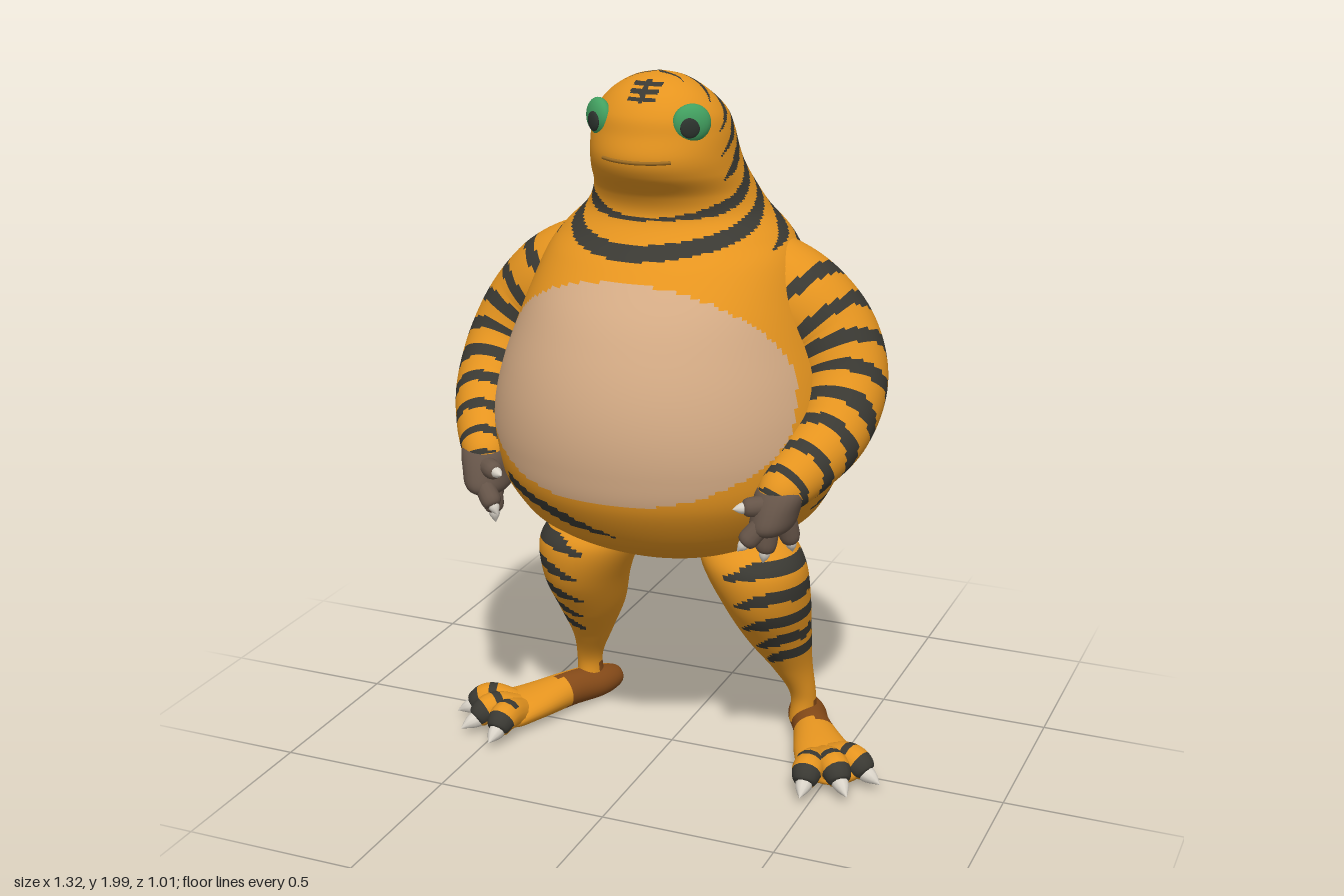
import * as THREE from 'three';

const flat = (name, color) => Object.assign(new THREE.MeshStandardMaterial({ color }), { name });
const mats = [
  flat('orange skin', 0xe5941f), flat('dark stripe', 0x3a3933), flat('tan belly', 0xd3aa84),
  flat('heel brown', 0x854a18), flat('hand brown', 0x655448), flat('pale claw', 0xd9d3c8),
  flat('eye green', 0x42a060), flat('pupil', 0x2c332e), flat('mouth line', 0xa06d22),
];
const [ORANGE, STRIPE, TAN, HEEL, HAND, CLAW, GREEN, PUPIL, MOUTH] = mats.keys();
const { smoothstep, clamp, lerp } = THREE.MathUtils;

// Skin over elliptical rings [x, y, z, ra, rb]; paint(p, v, c, f) picks a material per quad,
// c = cosine towards the side vector, f = frontness of the ring point
function skin(name, rows, side, paint, nu, nv, axis) {
  const path = new THREE.CatmullRomCurve3(rows.map(r => new THREE.Vector3(r[0], r[1], r[2])), false, 'catmullrom');
  const size = new THREE.CatmullRomCurve3(rows.map(r => new THREE.Vector3(r[3], r[4], 0)), false, 'catmullrom');
  const pos = [], info = [], buckets = mats.map(() => []);
  for (let i = 0; i <= nv; i++) {
    const v = i / nv, p = path.getPoint(v), r = size.getPoint(v);
    const T = axis || path.getTangent(v);
    const B = side.clone().addScaledVector(T, -side.dot(T)).normalize();
    const N = new THREE.Vector3().crossVectors(T, B);
    for (let j = 0; j < nu; j++) {
      const a = j / nu * Math.PI * 2, c = Math.cos(a), s = Math.sin(a);
      const q = p.clone().addScaledVector(B, Math.max(r.x, 0) * c).addScaledVector(N, Math.max(r.y, 0) * s);
      pos.push(q.x, q.y, q.z);
      info.push([q, v, c, N.z * s]);
    }
  }
  for (let i = 0; i < nv; i++) for (let j = 0; j < nu; j++) {
    const a = i * nu + j, b = i * nu + (j + 1) % nu, d = b + nu;
    const mean = n => (info[a][n] + info[d][n]) / 2;
    const p = info[a][0].clone().lerp(info[d][0], .5);
    buckets[paint(p, mean(1), mean(2), mean(3))].push(a, b, a + nu, b, d, a + nu);
  }
  const geo = new THREE.BufferGeometry();
  geo.setAttribute('position', new THREE.Float32BufferAttribute(pos, 3));
  geo.setIndex(buckets.flat());
  let start = 0;
  buckets.forEach((b, m) => { if (b.length) geo.addGroup(start, b.length, m); start += b.length; });
  geo.computeVertexNormals();
  const mesh = new THREE.Mesh(geo, mats);
  mesh.name = name;
  return mesh;
}

// Torso and head profile: [y, front z, back z, half width]
const profile = [
  [.6, -.06, -.14, 0], [.605, -.01, -.17, .09], [.65, .15, -.25, .21], [.7, .27, -.35, .31], [.75, .36, -.42, .385],
  [.8, .42, -.46, .43], [.9, .485, -.495, .48], [1, .505, -.505, .495], [1.1, .505, -.497, .485], [1.2, .485, -.475, .46],
  [1.3, .445, -.44, .425], [1.4, .385, -.4, .39], [1.5, .29, -.347, .355], [1.56, .215, -.31, .315], [1.62, .175, -.275, .255],
  [1.68, .19, -.24, .222], [1.74, .245, -.2, .205], [1.79, .264, -.17, .197], [1.85, .25, -.13, .19], [1.9, .237, -.095, .174],
  [1.95, .2, -.035, .13], [1.985, .145, .02, .07], [2, .08, .08, 0],
];
// Body bands: [height at the back, half thickness, how far round to the front, brown fringe]
const bands = [
  [.78, .02, .4], [.86, .02, .6], [.94, .022, .56], [1.06, .03, .56, 1], [1.23, .032, .52, 1], [1.4, .032, .52], [1.52, .03, .55, 1],
  [1.6, .022, .6], [1.68, .02, .7], [1.76, .018, 1.4], [1.835, .018, 1.05], [1.91, .018, .72], [1.98, .017, .66],
  [2.05, .016, .66], [2.12, .014, .64], [2.18, .012, .66],
];
function paintBody(p, v, c, f) {
  const { x, y, z } = p;
  const h = y > 1.12 ? .355 : .2;
  if (z > .1 && (Math.abs(x) / .437) ** 2.2 + (Math.abs(y - 1.12) / h) ** 2.2 < 1) return TAN;
  // forehead mark
  if (z > .08 && y > 1.93 && y < 1.985 && (Math.abs(x) < .007
    || Math.abs(x) < .04 && [1.942, 1.96, 1.976].some(b => Math.abs(y - b) < .005))) return STRIPE;
  // slanted stripe under the belly
  if (z > 0 && x > -.34 && x < .03 && Math.abs(y - .81 + .28 * x) < .02 * clamp((.03 - x) / .15, 0, 1)) return STRIPE;
  // bands drop towards the front and cross straight over the crown
  const t = lerp((1 + f) / 2, .5 + (z - .06) / .36, smoothstep(y, 1.75, 1.92));
  const drop = .05 + .17 * smoothstep(y, 1.2, 1.55) + .1 * smoothstep(y, 1.6, 1.9);
  const yb = y + drop * t + .006 * Math.sin(3 * c + 14 * y);
  for (const [b, w, end, fringe] of bands) {
    const d = Math.abs(yb - b);
    if (d < w * clamp((end - t) / .2, 0, 1)) return STRIPE;
    if (fringe && d < w + .009 && t < .3 && Math.sin(8 * c + 20 * b) > .5) return HEEL;
  }
  return ORANGE;
}

// Arm rings from shoulder to wrist
const armRows = [
  [.12, 1.5, -.06, .09, .09], [.24, 1.445, -.05, .125, .125], [.345, 1.375, -.045, .145, .145], [.44, 1.285, -.045, .138, .138],
  [.5, 1.18, 0, .122, .122], [.51, 1.08, .1, .102, .102], [.475, 1.01, .21, .085, .085], [.435, .955, .295, .066, .066],
  [.425, .93, .31, .05, .05],
];
const paintArm = (p, v, c, f) => {
  const k = v * 11.5 + .3 * c + .25 * f;
  const w = .21 + .05 * Math.sin(4 * c + 9 * v);
  return v > .2 && v < .93 && Math.abs(k - Math.round(k)) < w ? STRIPE : ORANGE;
};
const palmRows = [
  [.437, .99, .285, 0, 0], [.435, .97, .29, .064, .064], [.425, .91, .31, .062, .085], [.415, .86, .315, .052, .083], [.41, .83, .315, 0, 0],
];
// Leg rings from ankle to hip
const legRows = [
  [.345, .06, -.185, .04, .05], [.345, .15, -.178, .037, .047], [.32, .25, -.15, .056, .08], [.295, .37, -.095, .092, .125],
  [.28, .5, -.03, .122, .155], [.253, .62, .005, .147, .15], [.22, .7, -.01, .13, .12], [.2, .76, -.02, .08, .08],
];
const paintLeg = (p, v, c, f) => {
  if (p.y < .13 && f < .3 && (p.x > 0 || c < 0)) return HEEL;
  const y = p.y + .045 * (1 - c) - .02 * f + .005 * Math.sin(5 * f);
  return [.645, .56, .475, .4, .335].some(b => Math.abs(y - b) < .02 * clamp((c + .4) * 1.5, 0, 1)) ? STRIPE : ORANGE;
};
const footRows = [
  [.283, .05, -.3, 0, 0], [.29, .05, -.29, .034, .03], [.32, .055, -.22, .056, .048], [.37, .062, -.12, .056, .052],
  [.44, .057, 0, .082, .046], [.495, .05, .07, .1, .038], [.525, .045, .12, .06, .025], [.53, .045, .13, 0, 0],
];
// The outer side of the right heel stays orange
const paintFoot = (p, v, c) => (p.z + .5 * Math.abs(p.x) < .11 && (p.x > 0 || c < .1) ? HEEL : ORANGE);
const toeTips = [[.645, .03, .09], [.58, .03, .195], [.46, .03, .25]];
const fingers = [
  [[.42, .93, .34], [.335, .925, .4], .026], [[.405, .88, .37], [.35, .81, .4], .027],
  [[.41, .87, .32], [.395, .755, .325], .028], [[.435, .87, .26], [.445, .76, .23], .027],
];

// Tapered digit ending in a claw
function digit(name, a, b, r, lift, side, paint, s) {
  const at = (t, y, ra) => [0, 1, 2].map(i => (a[i] + (b[i] - a[i]) * t + (i === 1 ? y : 0)) * (i ? 1 : s)).concat(ra, ra);
  const g = new THREE.Group();
  g.name = name;
  g.add(skin('digit', [at(0, 0, r), at(.35, lift, r * 1.05), at(.57, lift, r), at(.7, lift * .4, r * .7), at(.74, lift * .3, 0)],
    side, paint, 14, 24));
  g.add(skin('claw', [at(.58, lift * .5, r * .6), at(.8, lift * .35, r * .52), at(1, 0, 0)], side, () => CLAW, 10, 8));
  return g;
}

export function createModel() {
  const model = new THREE.Group();
  model.name = 'stripedCreature';
  const up = new THREE.Vector3(0, 1, 0), X = new THREE.Vector3(1, 0, 0), Z = new THREE.Vector3(0, 0, 1);
  const rows = profile.map(([y, f, b, w]) => [0, y, (f + b) / 2, w, (f - b) / 2]);
  model.add(skin('bodyAndHead', rows, X, paintBody, 180, 240, up));

  // Mouth line wrapped round the snout
  const lip = [-.5, -.3, 0, .3, .5].map(a =>
    new THREE.Vector3(.2 * Math.sin(a), 1.785 + .012 * a * a, .047 + .218 * Math.cos(a)));
  const mouth = new THREE.Mesh(new THREE.TubeGeometry(new THREE.CatmullRomCurve3(lip), 24, .005, 6), mats[MOUTH]);
  mouth.name = 'mouth';
  model.add(mouth);

  for (const s of [1, -1]) {
    const label = s > 0 ? 'left' : 'right';
    const flip = list => list.map(([x, ...rest]) => [x * s, ...rest]);
    const out = new THREE.Vector3(s, 0, 0);

    // Eye looking forwards and outwards
    const eye = new THREE.Group();
    eye.name = label + 'Eye';
    const ball = new THREE.Mesh(new THREE.SphereGeometry(1, 24, 16), mats[GREEN]);
    ball.name = 'eyeball';
    ball.scale.set(.052, .05, .027);
    const pupil = new THREE.Mesh(new THREE.SphereGeometry(1, 20, 12), mats[PUPIL]);
    pupil.name = 'pupil';
    pupil.scale.set(.027, .027, .008);
    pupil.position.set(-.01 * s, -.009, .0225);
    eye.add(ball, pupil);
    eye.position.set(.131 * s, 1.885, .182);
    eye.rotation.y = .65 * s;
    model.add(eye);

    // Arm and hand
    model.add(skin(label + 'Arm', flip(armRows), Z, paintArm, 48, 120));
    const hand = new THREE.Group();
    hand.name = label + 'Hand';
    hand.add(skin('palm', flip(palmRows), out, () => HAND, 24, 24, new THREE.Vector3(0, -1, 0)));
    fingers.forEach(([a, b, r], i) => hand.add(digit(i ? 'finger' + i : 'thumb', a, b, r, 0, X, () => HAND, s)));
    model.add(hand);

    // Leg and foot, the left foot set a little further back
    model.add(skin(label + 'Leg', flip(legRows), out, paintLeg, 48, 90, up));
    const foot = new THREE.Group();
    foot.name = label + 'Foot';
    foot.add(skin('sole', flip(footRows), new THREE.Vector3(.86 * s, 0, -.5), paintFoot, 32, 48));
    toeTips.forEach((tip, i) => foot.add(digit('toe' + (i + 1), [.475 - .015 * i, .055, .03 + .02 * i], tip, .042, .03, up,
      (p, v, c) => (v > .5 && v < .95 && c > -.2 || Math.abs(v - .3) < .05 && c > .5 ? STRIPE : ORANGE), s)));
    foot.position.set(s > 0 ? .02 : -.01, 0, s > 0 ? -.015 : .02);
    model.add(foot);
  }
  return model;
}
